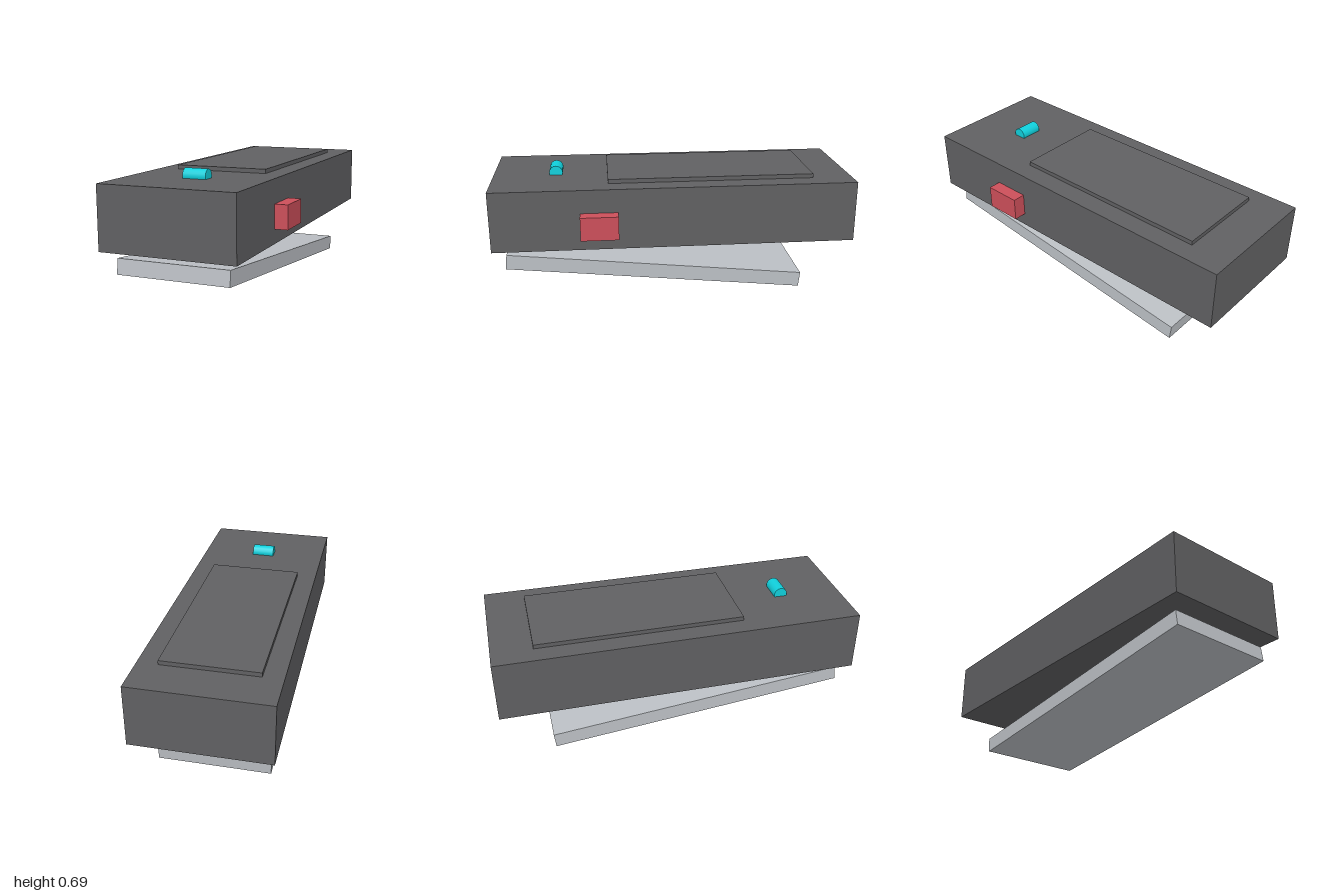
import * as THREE from 'three';

const material = (name, color) => {
  const m = new THREE.MeshStandardMaterial({ color });
  m.name = name;
  return m;
};

export function createModel() {
  const model = new THREE.Group();
  model.name = 'pedalDevice';
  const darkGrey = material('darkGrey', 0x606062);
  const lightGrey = material('lightGrey', 0xbcc0c5);
  const red = material('red', 0xcc4f5a);
  const cyan = material('cyan', 0x10d0dc);

  const add = (name, geometry, mat, x, y, z) => {
    const mesh = new THREE.Mesh(geometry, mat);
    mesh.name = name;
    mesh.position.set(x, y, z);
    model.add(mesh);
    return mesh;
  };

  // Box given by its lower and upper corners
  const box = (name, mat, [x0, y0, z0], [x1, y1, z1]) =>
    add(name, new THREE.BoxGeometry(x1 - x0, y1 - y0, z1 - z0), mat,
      (x0 + x1) / 2, (y0 + y1) / 2, (z0 + z1) / 2);

  // Main housing with a shallow raised panel on top
  box('body', darkGrey, [-0.404, 0.299, -1], [0.331, 0.637, 1]);
  box('topPanel', darkGrey, [-0.296, 0.63, -0.779], [0.221, 0.66, 0.362]);

  // Button on the left side
  box('sideButton', red, [0.325, 0.377, 0.312], [0.403, 0.507, 0.517]);

  // Roller half sunk into the top
  const roller = new THREE.CylinderGeometry(0.038, 0.038, 0.128, 16).rotateZ(Math.PI / 2);
  add('roller', roller, cyan, -0.037, 0.65, 0.65);

  // Tilted plate beneath the housing, higher at the front
  const plate = add('basePlate', new THREE.BoxGeometry(0.612, 0.083, 1.664), lightGrey,
    -0.037, 0.129, 0.106);
  plate.rotation.x = -0.1054;

  return model;
}
